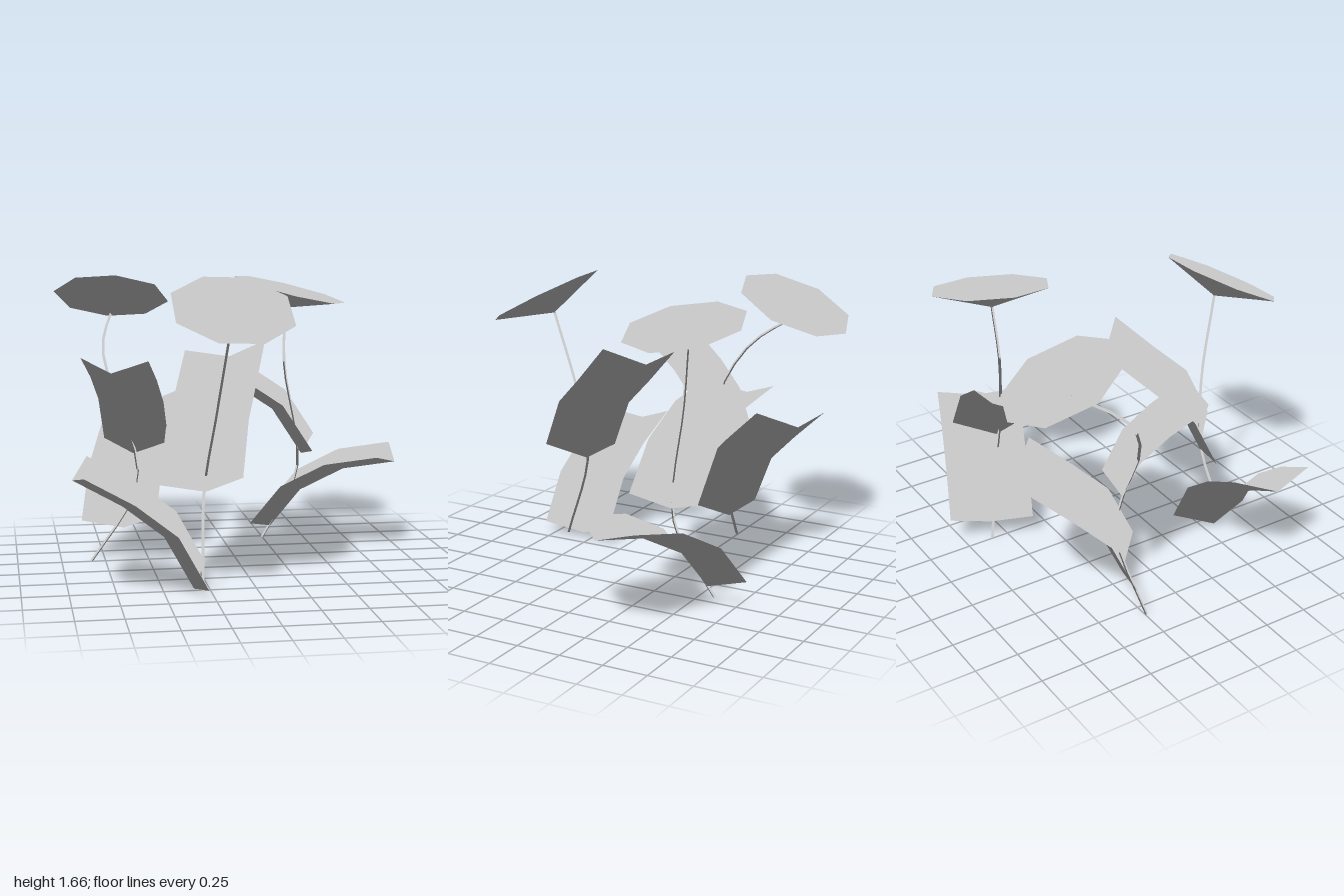
import * as THREE from 'three';

const material = new THREE.MeshStandardMaterial({ color: 0xcccccc, side: THREE.DoubleSide });
const vec = (x, y, z) => new THREE.Vector3(x, y, z);

// Foliage shading: every normal points straight up, so the plants are lit evenly
function foliage(geometry, name) {
  const count = geometry.attributes.position.count;
  const up = Array.from({ length: count }, () => [0, 1, 0]).flat();
  geometry.setAttribute('normal', new THREE.Float32BufferAttribute(up, 3));
  const mesh = new THREE.Mesh(geometry, material);
  mesh.name = name;
  return mesh;
}

// Leaf: a V cross-section swept along an arching vein from tip to base.
// sag sets how early the vein drops, roll lifts one edge, yaw skews the section.
function leaf(tip, base, { sag, roll, yaw = 0, width = 0.236 }) {
  const heading = Math.atan2(base.z - tip.z, base.x - tip.x) + yaw;
  const dx = Math.cos(heading), dz = Math.sin(heading);
  const fold = vec(dx * 0.07, 0.068, dz * 0.07);
  const side = vec(dz * width, roll, -dx * width);
  const along = [0, 0.41, 0.755, 1];
  const drop = [0, sag, 0.38 + 0.6 * sag, 1];
  const points = [], index = [];
  for (let i = 0; i < 4; i++) {
    const vein = tip.clone().lerp(base, along[i]);
    vein.y = THREE.MathUtils.lerp(tip.y, base.y, drop[i]);
    const ridge = vein.clone().add(fold);
    points.push(ridge.clone().add(side), vein, ridge.clone().sub(side));
    if (i === 0) continue;
    for (let j = 0; j < 2; j++) {
      const a = (i - 1) * 3 + j, b = i * 3 + j;
      index.push(a, a + 1, b, a + 1, b + 1, b);
    }
  }
  return foliage(new THREE.BufferGeometry().setFromPoints(points).setIndex(index), 'leaf');
}

// Open eight-sided shallow cone whose rim plane rises by slopeX and slopeZ
function bloom(center, apex, slopeX, slopeZ, phase) {
  const points = [apex], index = [];
  for (let i = 0; i < 8; i++) {
    const a = phase + (i * Math.PI) / 4, x = Math.cos(a), z = Math.sin(a);
    const spoke = vec(x, slopeX * x + slopeZ * z, z).setLength(0.338);
    points.push(center.clone().add(spoke));
    index.push(0, 1 + ((i + 1) % 8), 1 + i);
  }
  return foliage(new THREE.BufferGeometry().setFromPoints(points).setIndex(index), 'bloom');
}

// Thin bent three-sided stem
function stem(path) {
  const curve = new THREE.CatmullRomCurve3(path, false, 'centripetal');
  return foliage(new THREE.TubeGeometry(curve, 14, 0.009, 3), 'stem');
}

// One flower: the stem runs from the ground to the apex of the bloom
function flower(name, { center, slope: [slopeX, slopeZ], phase }, path, leaves) {
  const normal = vec(-slopeX, 1, -slopeZ).normalize();
  const apex = center.clone().addScaledVector(normal, -0.11);
  const group = new THREE.Group();
  group.name = name;
  group.add(bloom(center, apex, slopeX, slopeZ, phase), stem([...path, apex]), ...leaves);
  return group;
}

export function createModel() {
  const model = new THREE.Group();
  model.name = 'flowers';
  model.add(
    flower('frontFlower',
      { center: vec(-0.155, 1.515, 0.68), slope: [-0.04, -0.53], phase: 0.39 },
      [vec(-0.31, 0.03, 0.645), vec(-0.28, 0.55, 0.485), vec(-0.22, 0.94, 0.515)],
      [
        leaf(vec(-0.975, 0.62, 0.495), vec(-0.345, 0.03, 0.555), { sag: 0.24, roll: 0.02 }),
        leaf(vec(-0.065, 1.2, -0.025), vec(-0.27, 0.535, 0.485), { sag: 0.32, roll: 0.035, yaw: 0.13 }),
      ]),
    flower('backLeftFlower',
      { center: vec(0.37, 1.54, -0.485), slope: [-0.235, -0.077], phase: 0.09 },
      [vec(0.23, 0.03, -0.61), vec(0.405, 0.43, -0.47), vec(0.41, 0.64, -0.44), vec(0.335, 1.1, -0.465)],
      [
        leaf(vec(-0.26, 1.065, -0.555), vec(0.435, 0.57, -0.45), { sag: 0.14, roll: 0.017, yaw: 0.07 }),
        leaf(vec(0.968, 0.53, -0.295), vec(0.275, 0.105, -0.59), { sag: 0.13, roll: -0.01 }),
      ]),
    flower('backRightFlower',
      { center: vec(-0.667, 1.5, -0.66), slope: [-0.1, 0.45], phase: 0 },
      [vec(-0.83, 0.01, -0.245), vec(-0.6, 0.34, -0.28), vec(-0.56, 0.55, -0.25),
        vec(-0.67, 0.93, -0.195), vec(-0.74, 1.15, -0.29), vec(-0.735, 1.28, -0.42)],
      [
        leaf(vec(-0.74, 1.14, 0.185), vec(-0.585, 0.63, -0.245), { sag: 0.245, roll: 0.005, width: 0.19 }),
        leaf(vec(-0.42, 0.855, -0.8), vec(-0.64, 0.19, -0.28), { sag: 0.29, roll: 0.03, yaw: 0.13 }),
      ]),
  );
  return model;
}
